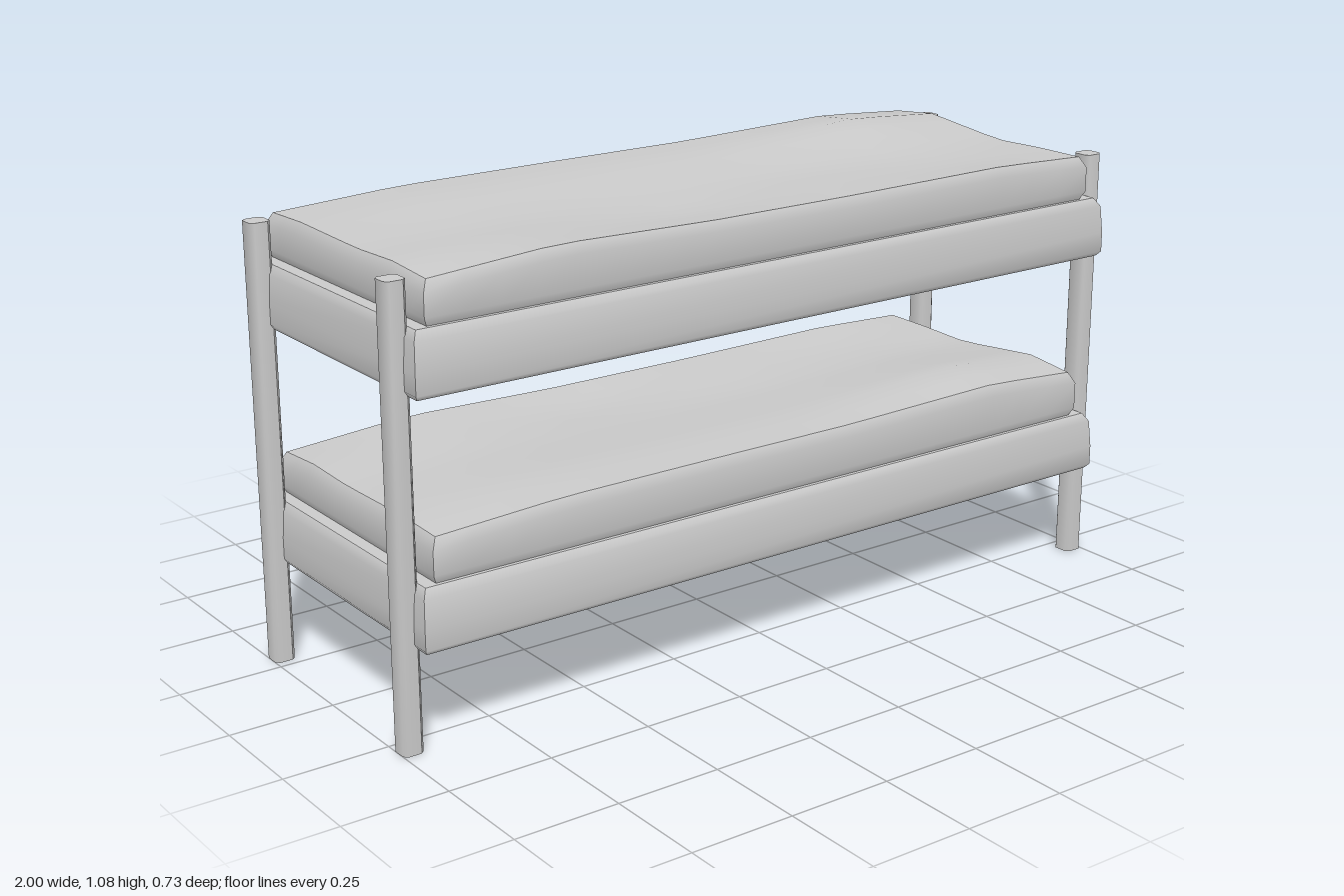
import * as THREE from 'three';

const material = new THREE.MeshStandardMaterial({ color: 0xcccccc });
const postMaterial = new THREE.MeshStandardMaterial({ color: 0xcccccc, side: THREE.DoubleSide });

// Move every vertex of a unit box by a rule; u, w run -1..1, t runs 0..1 upwards
function shapedBox(nx, ny, nz, rule) {
  const geometry = new THREE.BoxGeometry(2, 1, 2, nx, ny, nz);
  const p = geometry.attributes.position;
  for (let i = 0; i < p.count; i++) {
    p.setXYZ(i, ...rule(p.getX(i), p.getY(i) + 0.5, p.getZ(i)));
  }
  geometry.computeVertexNormals();
  return geometry;
}

function add(parent, geometry, name, mat = material) {
  const mesh = new THREE.Mesh(geometry, mat);
  mesh.name = name;
  parent.add(mesh);
  return mesh;
}

// Rumpled top heights: rows run along z, columns along x
const gridX = [-0.93, -0.6, -0.2, 0.2, 0.65, 0.92];
const gridZ = [-0.345, -0.2, 0.05, 0.2, 0.345];
const heights = [
  [0.245, 0.262, 0.264, 0.264, 0.274, 0.255],
  [0.25, 0.266, 0.266, 0.268, 0.29, 0.27],
  [0.245, 0.25, 0.246, 0.246, 0.25, 0.245],
  [0.25, 0.258, 0.24, 0.252, 0.246, 0.25],
  [0.24, 0.265, 0.257, 0.256, 0.262, 0.25],
];

function locate(grid, v) {
  let i = 0;
  while (i < grid.length - 2 && v > grid[i + 1]) i++;
  const f = THREE.MathUtils.clamp((v - grid[i]) / (grid[i + 1] - grid[i]), 0, 1);
  return [i, f];
}

function topHeight(x, z) {
  const [i, a] = locate(gridX, x);
  const [j, b] = locate(gridZ, z);
  const lerp = THREE.MathUtils.lerp;
  return lerp(
    lerp(heights[j][i], heights[j][i + 1], a),
    lerp(heights[j + 1][i], heights[j + 1][i + 1], a), b);
}

// One berth: slightly bulging mattress with a rumpled cover on top
function makeBerth(name, y, side) {
  const berth = new THREE.Group();
  berth.name = name;
  berth.position.y = y;

  // Section of the mattress: height, half length, half width
  const section = [
    [0, 0.958, 0.355], [0.012, 0.966, 0.366], [0.06, 0.966, 0.366],
    [0.125, 0.962, 0.36], [0.145, 0.95, 0.346],
  ];
  add(berth, shapedBox(1, 4, 1, (u, t, w) => {
    const [h, hx, hz] = section[Math.round(t * 4)];
    return [u * hx, h, w * hz];
  }), 'mattress');

  // Cover: tucked in at the foot, rounded at the top edge
  const inset = [0.012, 0, 0, 0.014];
  add(berth, shapedBox(20, 3, 10, (u, t, w) => {
    const row = Math.round(t * 3);
    const x = u * (0.925 - inset[row]) - 0.004;
    const z = w * (0.346 - inset[row]);
    const top = topHeight(x, z * side);
    const h = [0.14, 0.165, top - 0.025, top][row];
    return [x, h, z];
  }), 'blanket');
  return berth;
}

// Upright with softened square section, closed on top and open below
function makePost(x, z) {
  const post = new THREE.Group();
  post.name = 'post';
  post.position.set(x, 0, z);
  const r = 0.025, c = 0.016;
  const outline = [[r, c], [c, r], [-c, r], [-r, c], [-r, -c], [-c, -r], [c, -r], [r, -c]];
  const tube = new THREE.CylinderGeometry(1, 1, 1.04, 8, 1, true);
  const p = tube.attributes.position;
  for (let i = 0; i < p.count; i++) {
    const [px, pz] = outline[i % 9 % 8];
    // Reversed direction keeps the walls facing outwards
    p.setXYZ(i, pz, p.getY(i) + 0.52, px);
  }
  tube.computeVertexNormals();
  add(post, tube, 'postShaft', postMaterial);
  const cap = new THREE.ShapeGeometry(new THREE.Shape(outline.map(([a, b]) => new THREE.Vector2(a, b))));
  cap.rotateX(-Math.PI / 2);
  add(post, cap, 'postCap', postMaterial).position.y = 1.04;
  return post;
}

export function createModel() {
  const bed = new THREE.Group();
  bed.name = 'bunkBed';
  bed.add(makeBerth('lowerBerth', 0.24, -1));
  bed.add(makeBerth('upperBerth', 0.795, 1));
  for (const x of [-0.975, 0.975]) {
    for (const z of [-0.295, 0.295]) bed.add(makePost(x, z));
  }
  return bed;
}
